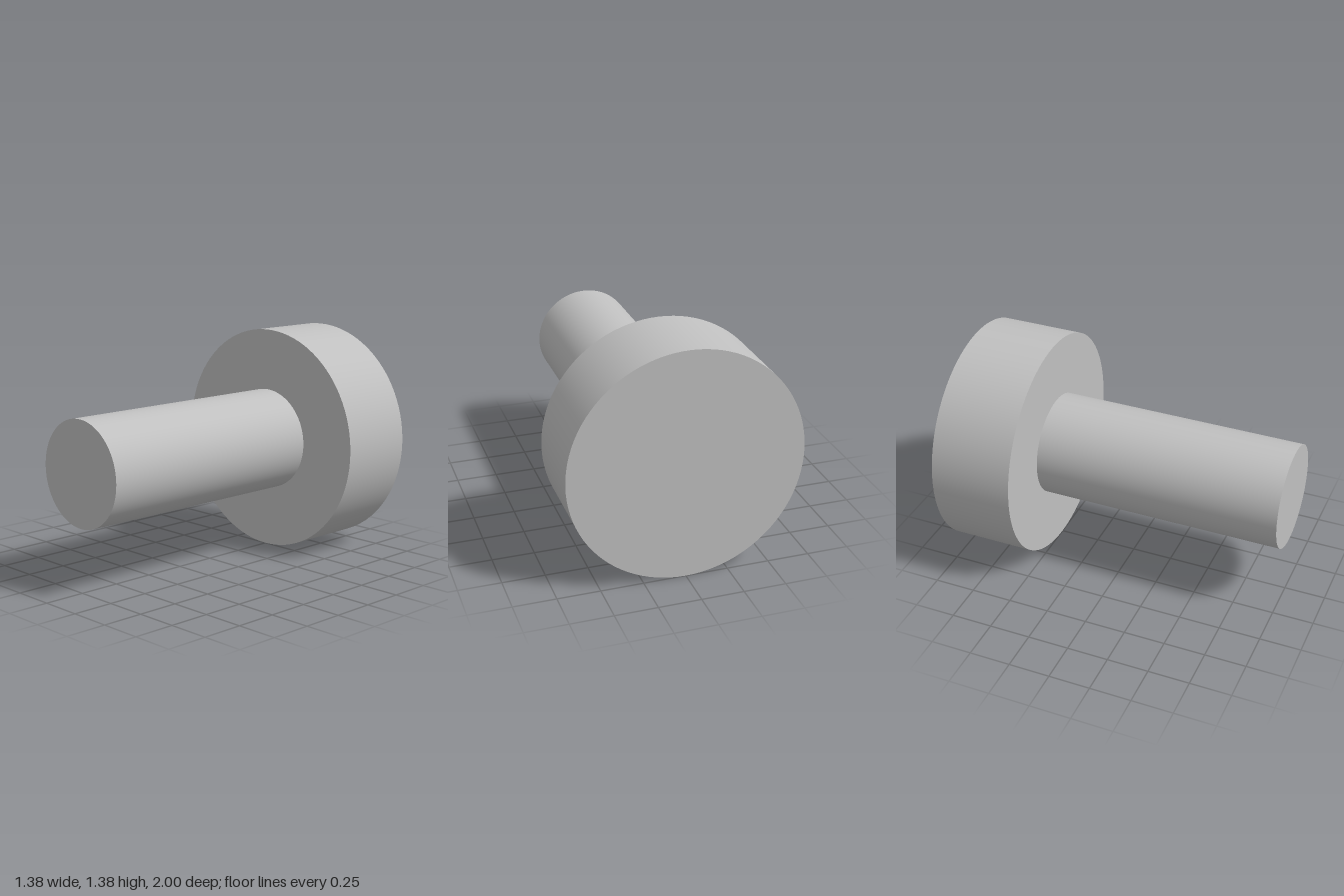
import * as THREE from 'three';

const AXIS_HEIGHT = 0.6875;

export function createModel() {
  const model = new THREE.Group();
  model.name = 'headedPin';
  const steel = new THREE.MeshStandardMaterial({ color: 0xc0c0c0 });
  steel.name = 'light grey';

  // Cylinder lying along z between two depths
  function addCylinder(name, radius, zBack, zFront) {
    const geometry = new THREE.CylinderGeometry(radius, radius, zFront - zBack, 96);
    geometry.rotateX(Math.PI / 2);
    const mesh = new THREE.Mesh(geometry, steel);
    mesh.name = name;
    mesh.position.set(0, AXIS_HEIGHT, (zBack + zFront) / 2);
    model.add(mesh);
  }

  // Wide disc at the back, slim shaft reaching forward
  addCylinder('head', AXIS_HEIGHT, -1, -0.5);
  addCylinder('shaft', 0.3125, -0.5, 1);

  return model;
}
